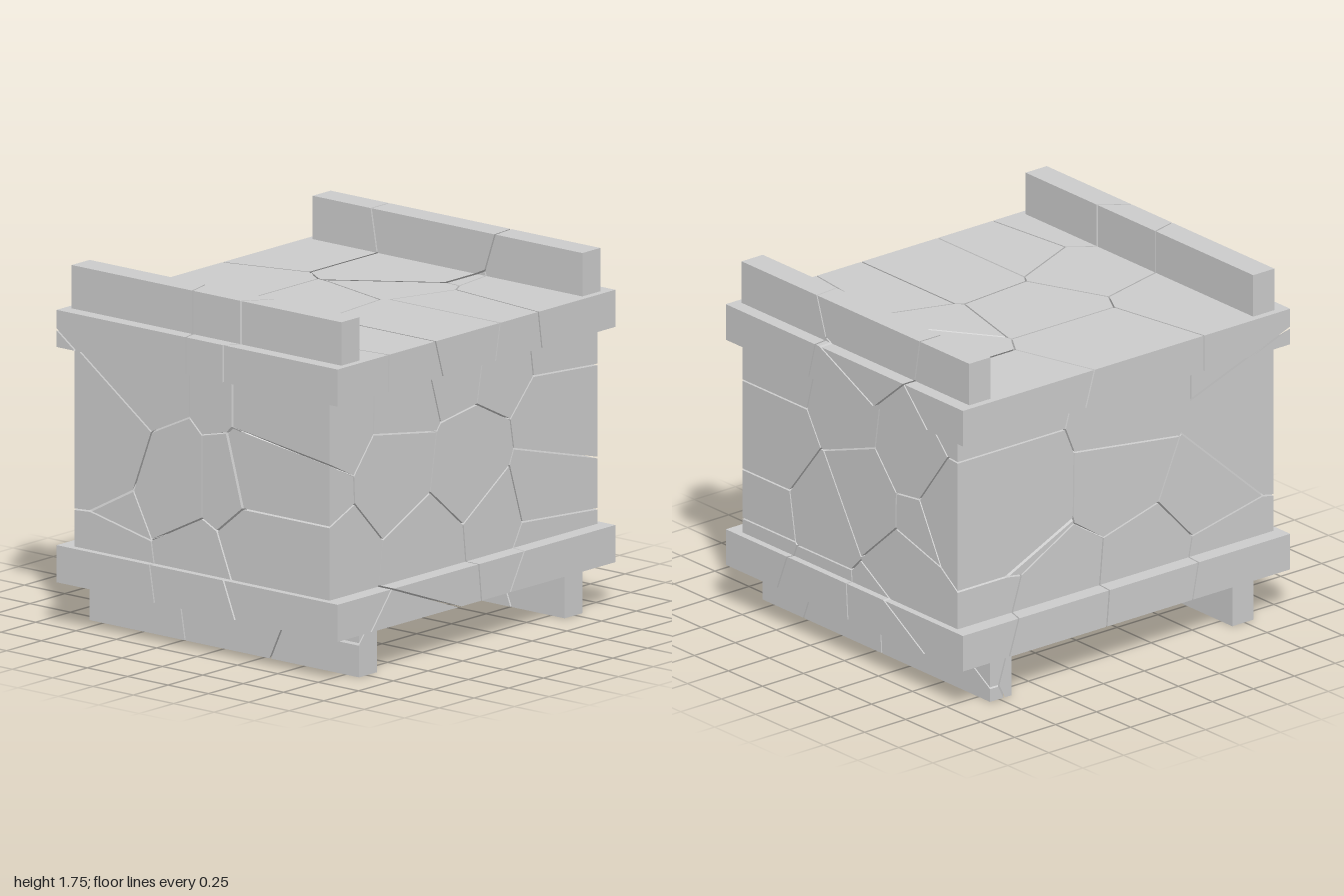
import * as THREE from 'three';

const HALF_GAP = 0.004;
const V = (x, y, z) => new THREE.Vector3(x, y, z);

// Centres of the broken chunks; one pattern runs through the whole crate
const seeds = [
  // front
  [-0.9, 1.28, 0.55], [-0.45, 1.27, 0.5], [-0.02, 1.4, 0.5], [0.3, 1.34, 0.5], [0.72, 1.4, 0.55],
  [0.69, 0.97, 0.55], [0.06, 0.86, 0.5], [-0.5, 0.95, 0.5], [-1.08, 0.92, 0.5], [-0.92, 0.55, 0.5],
  [-0.27, 0.47, 0.5], [0.6, 0.63, 0.55], [0.58, 0.36, 0.55], [0.28, 0.53, 0.5], [-0.4, 0.12, 0.5],
  // right side
  [0.66, 1.27, 0.06], [0.66, 0.86, -0.08], [0.66, 0.69, 0.2], [0.66, 1.19, -0.46],
  [0.66, 0.98, -0.74], [0.66, 1.5, -0.78], [0.66, 1.62, -0.1], [0.66, 0.5, -0.4], [0.66, 0.22, 0.2], [0.66, 0.25, -0.25],
  // top
  [-0.75, 1.28, -0.45], [-0.07, 1.28, -0.57], [-0.07, 1.28, -0.08], [-0.6, 1.28, 0.15], [0.45, 1.3, 0.05],
  // back
  [-0.03, 0.97, -0.5], [0.6, 0.85, -0.5], [-0.6, 0.72, -0.5], [0.35, 0.4, -0.5], [-0.2, 0.35, -0.55], [-0.85, 1.0, -0.65],
  // left side and underside
  [-0.66, 0.85, -0.25], [-0.66, 0.85, 0.25], [-0.66, 0.35, 0.0], [-0.7, 0.25, -0.6], [0.1, 0.2, 0.0],
].map((s) => V(...s));

// Convex chunk bounded by planes: gather its corners, then fan each face
function addChunk(planes, out) {
  const corners = [];
  const cut = V(0, 0, 0);
  for (let i = 0; i < planes.length; i++) {
    for (let j = i + 1; j < planes.length; j++) {
      const ij = planes[i].normal.clone().cross(planes[j].normal);
      if (ij.lengthSq() < 1e-8) continue;
      for (let k = j + 1; k < planes.length; k++) {
        const [a, b, c] = [planes[i], planes[j], planes[k]];
        const det = ij.dot(c.normal);
        if (Math.abs(det) < 1e-6) continue;
        cut.copy(ij).multiplyScalar(-c.constant)
          .addScaledVector(b.normal.clone().cross(c.normal), -a.constant)
          .addScaledVector(c.normal.clone().cross(a.normal), -b.constant)
          .divideScalar(det);
        if (planes.some((p) => p.distanceToPoint(cut) > 1e-6)) continue;
        if (!corners.some((p) => p.distanceTo(cut) < 1e-5)) corners.push(cut.clone());
      }
    }
  }
  if (corners.length < 4) return;
  for (const plane of planes) {
    const face = corners.filter((p) => Math.abs(plane.distanceToPoint(p)) < 1e-5);
    if (face.length < 3) continue;
    const mid = face.reduce((m, p) => m.add(p), V(0, 0, 0)).divideScalar(face.length);
    const n = plane.normal;
    const u = (Math.abs(n.y) < 0.9 ? V(0, 1, 0) : V(1, 0, 0)).cross(n).normalize();
    const v = n.clone().cross(u);
    const angle = (p) => Math.atan2(p.clone().sub(mid).dot(v), p.clone().sub(mid).dot(u));
    face.sort((p, q) => angle(p) - angle(q));
    for (let i = 1; i < face.length - 1; i++) {
      for (const p of [face[0], face[i], face[i + 1]]) out.push(p.x, p.y, p.z);
    }
  }
}

// Box split into chunks, with a thin crack along each bisecting plane
function crackedBox(name, min, max, material) {
  const sides = [];
  ['x', 'y', 'z'].forEach((axis, i) => {
    const n = V(0, 0, 0);
    n[axis] = 1;
    sides.push(new THREE.Plane(n, -max[i]), new THREE.Plane(n.clone().negate(), min[i]));
  });
  const positions = [];
  for (const seed of seeds) {
    const planes = [...sides];
    for (const other of seeds) {
      if (other === seed) continue;
      const n = other.clone().sub(seed).normalize();
      const middle = other.clone().add(seed).multiplyScalar(0.5).addScaledVector(n, -HALF_GAP);
      planes.push(new THREE.Plane().setFromNormalAndCoplanarPoint(n, middle));
    }
    addChunk(planes, positions);
  }
  const geometry = new THREE.BufferGeometry();
  geometry.setAttribute('position', new THREE.Float32BufferAttribute(positions, 3));
  geometry.computeVertexNormals();
  const mesh = new THREE.Mesh(geometry, material);
  mesh.name = name;
  return mesh;
}

export function createModel() {
  const model = new THREE.Group();
  model.name = 'crackedCrate';
  const material = new THREE.MeshStandardMaterial({ color: 0xcccccc, flatShading: true });
  const add = (name, min, max) => model.add(crackedBox(name, min, max, material));

  // Body between two wider slabs
  add('body', [-0.965, 0.395, -0.79], [0.965, 1.355, 0.79]);
  add('baseSlab', [-1, 0.215, -0.87], [1, 0.395, 0.87]);
  add('lidSlab', [-1, 1.355, -0.87], [1, 1.535, 0.87]);

  // Rails on the lid and runners below, running front to back
  for (const [side, s] of [['left', 1], ['right', -1]]) {
    const rail = (name, inner, outer, y0, y1) =>
      add(name, [Math.min(s * inner, s * outer), y0, -0.835], [Math.max(s * inner, s * outer), y1, 0.835]);
    rail(side + 'TopRail', 0.803, 0.932, 1.535, 1.745);
    rail(side + 'Runner', 0.675, 0.805, 0, 0.215);
  }
  return model;
}
